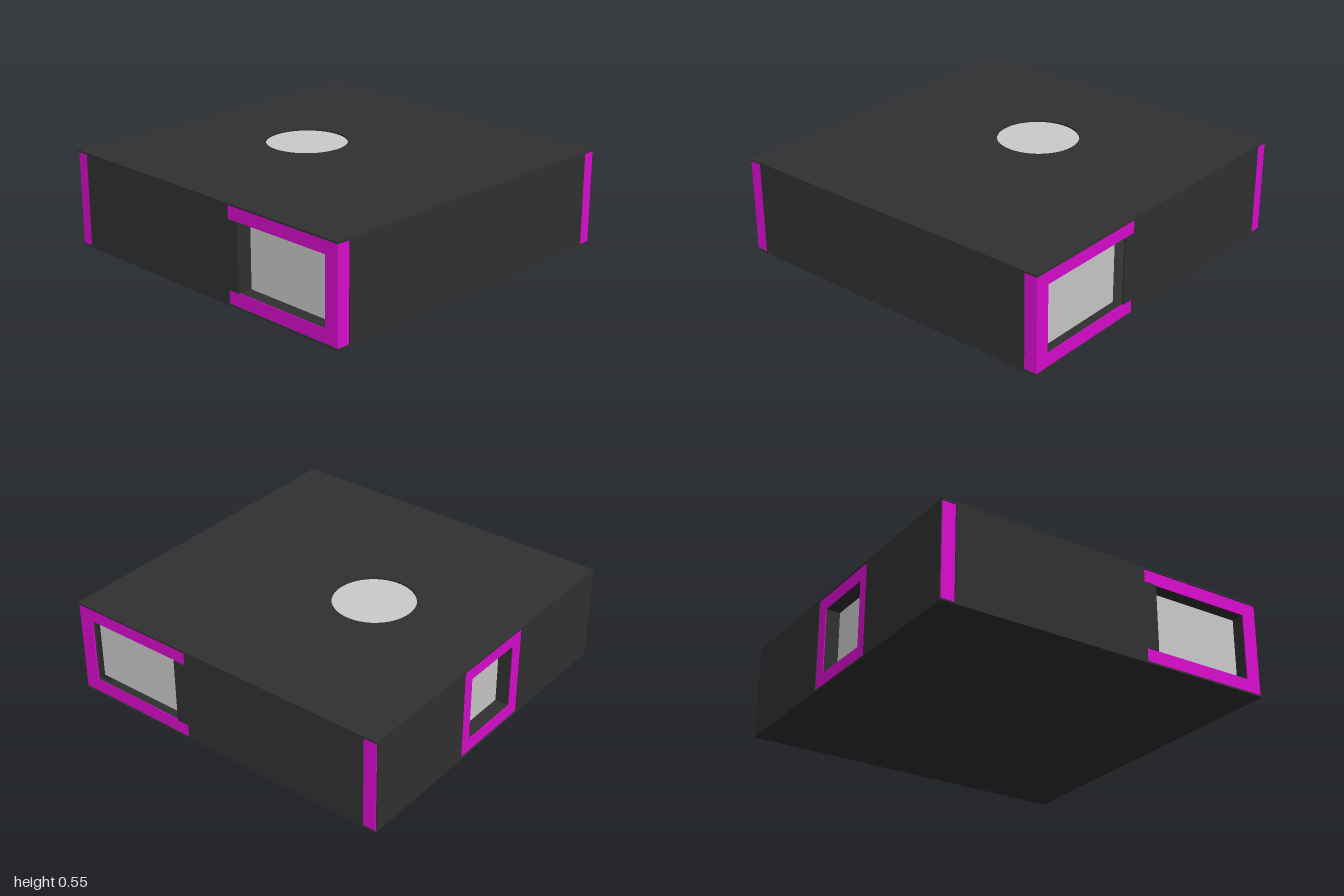
import * as THREE from 'three';

const H = 0.55, T = 0.01, TOP = H - T;   // total height, plate thickness
const SILL = 0.085, HEAD = 0.465;        // window opening heights
const EDGE = 0.995, STRIP = 0.92;        // corner trim extents

const dark = new THREE.MeshStandardMaterial({ color: 0x313131 });
const magenta = new THREE.MeshStandardMaterial({ color: 0xdb0cd0 });
const grey = new THREE.MeshStandardMaterial({ color: 0xcccccc });

const rect = (x0, x1, y0 = T, y1 = TOP) => [[x0, y0], [x1, y0], [x1, y1], [x0, y1]];

// Flat slab from an outline, extruded from z0 to z1; s = -1 mirrors it in x
function slab(name, outline, z0, z1, material, s = 1, hole = null) {
  const toPoints = pts => pts.map(([x, y]) => new THREE.Vector2(x * s, y));
  const shape = new THREE.Shape(toPoints(outline));
  if (hole) shape.holes.push(new THREE.Path(toPoints(hole)));
  const geometry = new THREE.ExtrudeGeometry(shape, { depth: z1 - z0, bevelEnabled: false });
  geometry.translate(0, 0, z0);
  const mesh = new THREE.Mesh(geometry, material);
  mesh.name = name;
  return mesh;
}

function side(name, angle, parts) {
  const group = new THREE.Group();
  group.name = name;
  group.rotation.y = angle;
  group.add(...parts);
  return group;
}

// Long side with a window at one end and a trimmed corner at the other
function longSide(name, angle, s) {
  const opening = rect(0.305, 0.91, SILL, HEAD);
  const cladding = [[-STRIP, T], [0.23, T], [0.23, SILL], [0.305, SILL],
    [0.305, HEAD], [0.23, HEAD], [0.23, TOP], [-STRIP, TOP]];
  const trim = [[0.23, T], [EDGE, T], [EDGE, TOP], [0.23, TOP],
    [0.23, HEAD], [0.91, HEAD], [0.91, SILL], [0.23, SILL]];
  return side(name, angle, [
    slab('wall', rect(-0.99, 0.99), 0.91, 0.99, dark, s, opening),
    slab('cladding', cladding, 0.99, 1, dark, s),
    slab('windowTrim', trim, 0.99, EDGE, magenta, s),
    slab('cornerTrim', rect(-EDGE, -STRIP), 0.99, EDGE, magenta, s),
    slab('windowPane', rect(0.28, 0.94, 0.06, 0.49), 0.89, 0.915, grey, s),
  ]);
}

// Closed side with trim at both corners
function closedSide(name, angle) {
  return side(name, angle, [
    slab('wall', rect(-0.9, 0.9), 0.91, 0.99, dark),
    slab('cladding', rect(-STRIP, STRIP), 0.99, 1, dark),
    ...[1, -1].map(s => slab('cornerTrim', rect(STRIP, EDGE), 0.985, EDGE, magenta, s)),
  ]);
}

// Side with a framed window in its middle
function windowSide(name, angle) {
  const opening = rect(-0.19, 0.19, SILL, HEAD);
  return side(name, angle, [
    slab('wall', rect(-0.9, 0.9), 0.91, 0.99, dark, 1, opening),
    ...[1, -1].map(s => slab('cladding', rect(0.262, 0.99), 0.99, 1, dark, s)),
    slab('windowFrame', rect(-0.262, 0.262), 0.99, EDGE, magenta, 1, opening),
    slab('windowPane', rect(-0.21, 0.21, 0.06, 0.49), 0.89, 0.91, grey),
  ]);
}

export function createModel() {
  const model = new THREE.Group();
  model.name = 'windowedBox';

  // Top plate with a round opening over a shallow disc
  const plan = new THREE.Shape([[-1, -1], [1, -1], [1, 1], [-1, 1]].map(p => new THREE.Vector2(...p)));
  plan.holes.push(new THREE.Path().absarc(-0.23, 0, 0.23, 0, Math.PI * 2, true));
  const topGeometry = new THREE.ExtrudeGeometry(plan, { depth: T, bevelEnabled: false, curveSegments: 48 });
  topGeometry.rotateX(-Math.PI / 2);
  const topPlate = new THREE.Mesh(topGeometry, dark);
  topPlate.name = 'topPlate';
  topPlate.position.y = TOP;

  const disc = new THREE.Mesh(new THREE.CylinderGeometry(0.24, 0.24, 0.02, 48), grey);
  disc.name = 'topDisc';
  disc.position.set(-0.23, TOP - 0.01, 0);

  const bottomPlate = new THREE.Mesh(new THREE.BoxGeometry(2, T, 2), dark);
  bottomPlate.name = 'bottomPlate';
  bottomPlate.position.y = T / 2;

  model.add(
    topPlate, disc, bottomPlate,
    longSide('frontSide', 0, 1),
    longSide('backSide', Math.PI, -1),
    closedSide('leftSide', Math.PI / 2),
    windowSide('rightSide', -Math.PI / 2),
  );
  return model;
}
